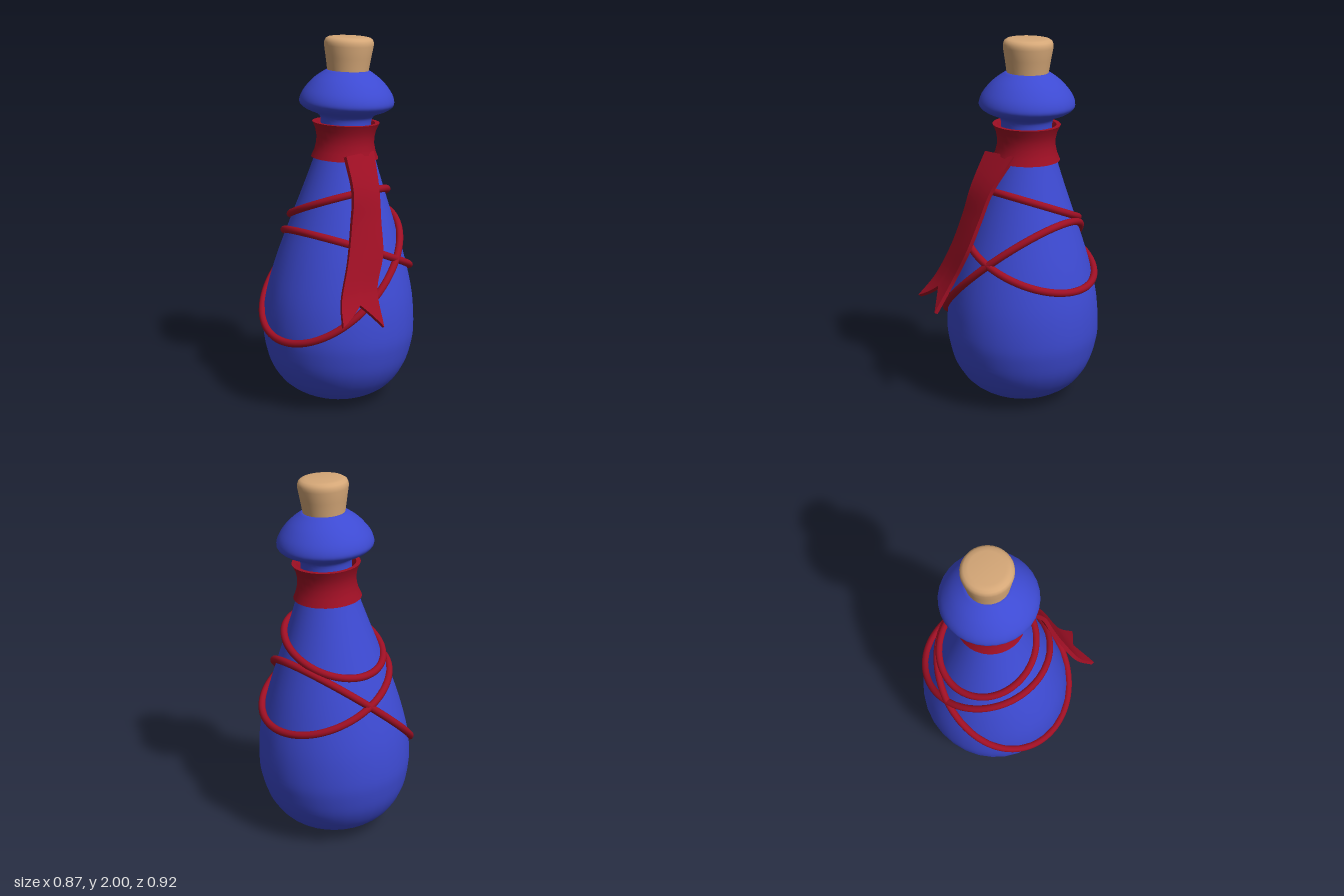
import * as THREE from 'three';
import { toCreasedNormals } from 'three/addons/utils/BufferGeometryUtils.js';

const glassBlue = new THREE.MeshStandardMaterial({ color: 0x3d4ad2 });
const clothRed = new THREE.MeshStandardMaterial({ color: 0x9e0f24 });
const corkTan = new THREE.MeshStandardMaterial({ color: 0xd6a878 });

const vec2 = (list) => list.map(([x, y]) => new THREE.Vector2(x, y));
const vec3 = (list) => list.map((p) => new THREE.Vector3(...p));

function mesh(name, geometry, material) {
  const m = new THREE.Mesh(geometry, material);
  m.name = name;
  return m;
}

// Bottle outline as radius, height: round belly, slim neck, flared lip
const profile = new THREE.SplineCurve(vec2([
  [0, 0], [0.11, 0.008], [0.22, 0.045], [0.31, 0.11], [0.375, 0.21], [0.407, 0.32], [0.418, 0.43],
  [0.402, 0.6], [0.352, 0.8], [0.285, 1.0], [0.215, 1.2], [0.163, 1.36], [0.14, 1.46], [0.136, 1.55],
  [0.155, 1.585], [0.215, 1.61], [0.249, 1.635], [0.254, 1.665], [0.235, 1.71], [0.19, 1.765],
  [0.135, 1.808], [0.1, 1.822], [0, 1.822],
])).getPoints(88);

// Bottle radius at a height below the lip
function radiusAt(y) {
  const i = Math.max(1, profile.findIndex((p) => p.y >= y));
  const a = profile[i - 1], b = profile[i];
  return THREE.MathUtils.mapLinear(y, a.y, b.y, a.x, b.x);
}

// Cord loop: where the plane y = y0 + slopeX * x + slopeZ * z cuts the leaning bottle
function cordLoop(y0, slopeX, slopeZ) {
  const points = [];
  for (let i = 0; i < 40; i++) {
    const angle = (i / 40) * Math.PI * 2;
    const p = new THREE.Vector3(0, y0, 0);
    for (let k = 0; k < 40; k++) {
      const r = radiusAt(p.y) + 0.012;
      p.x = 0.005 + 0.0375 * p.y + r * Math.cos(angle);
      p.z = -0.045 + 0.0165 * p.y + r * Math.sin(angle);
      p.y = y0 + slopeX * p.x + slopeZ * p.z;
    }
    points.push(p);
  }
  const path = new THREE.CatmullRomCurve3(points, true);
  return new THREE.TubeGeometry(path, 96, 0.02, 10, true);
}

// Hanging ribbon: a thin box bent between two edge curves, with a notched tail
function ribbonGeometry() {
  const left = new THREE.CatmullRomCurve3(vec3([
    [-0.1, 1.39, 0.12], [-0.13, 1.21, 0.2], [-0.17, 1.05, 0.225],
    [-0.23, 0.87, 0.255], [-0.325, 0.68, 0.295], [-0.385, 0.575, 0.36],
  ]));
  const right = new THREE.CatmullRomCurve3(vec3([
    [0.11, 1.39, 0.13], [0.04, 1.21, 0.23], [0, 1.05, 0.28],
    [-0.04, 0.89, 0.33], [-0.12, 0.72, 0.36], [-0.17, 0.545, 0.45],
  ]));
  const at = (u, v) => {
    const t = v * (1 - 0.14 * (1 - Math.abs(2 * u - 1)));
    return left.getPoint(t).lerp(right.getPoint(t), u);
  };
  const geo = new THREE.BoxGeometry(1, 1, 1, 8, 32, 1);
  const pos = geo.attributes.position;
  for (let i = 0; i < pos.count; i++) {
    const u = pos.getX(i) + 0.5, v = 0.5 - pos.getY(i);
    const across = at(1, v).sub(at(0, v));
    const up = at(u, Math.max(0, v - 0.02)).sub(at(u, Math.min(1, v + 0.02)));
    const normal = across.cross(up).normalize();
    const p = at(u, v).addScaledVector(normal, pos.getZ(i) * 0.022);
    pos.setXYZ(i, p.x, p.y, p.z);
  }
  geo.computeVertexNormals();
  return geo;
}

export function createModel() {
  const model = new THREE.Group();
  model.name = 'potionBottle';

  // Bottle, collar and cork share a slight lean
  const vessel = new THREE.Group();
  vessel.name = 'vessel';
  vessel.position.set(0.005, 0, -0.045);
  vessel.rotation.set(0.0165, 0, -0.0375);
  model.add(vessel);

  vessel.add(mesh('bottle', new THREE.LatheGeometry(profile, 32), glassBlue));

  // Cork, wider and rounded at the top
  const cork = new THREE.LatheGeometry(vec2([
    [0, 1.78], [0.107, 1.78], [0.111, 1.82], [0.122, 1.89], [0.132, 1.95], [0.132, 1.968],
    [0.126, 1.984], [0.113, 1.993], [0.09, 1.997], [0, 1.995],
  ]), 32);
  vessel.add(mesh('cork', toCreasedNormals(cork, 0.9), corkTan));

  // Cloth collar: waisted band with a visible thickness
  const outer = vec2([
    [0.182, 1.352], [0.166, 1.39], [0.157, 1.43], [0.156, 1.465], [0.164, 1.505], [0.182, 1.543],
  ]);
  const inner = outer.map((p) => new THREE.Vector2(p.x - 0.024, p.y)).reverse();
  const collar = new THREE.LatheGeometry([...outer, ...inner, outer[0].clone()], 32);
  vessel.add(mesh('neckCollar', toCreasedNormals(collar, 0.8), clothRed));

  // Three cord loops tilted in different directions
  const cords = [
    ['upperCord', 1.125, -0.05, 0.4],
    ['middleCord', 0.873, -0.435, 0],
    ['lowerCord', 0.76, 0.85, 0],
  ];
  for (const [name, ...plane] of cords) model.add(mesh(name, cordLoop(...plane), clothRed));

  model.add(mesh('ribbon', ribbonGeometry(), clothRed));
  return model;
}
